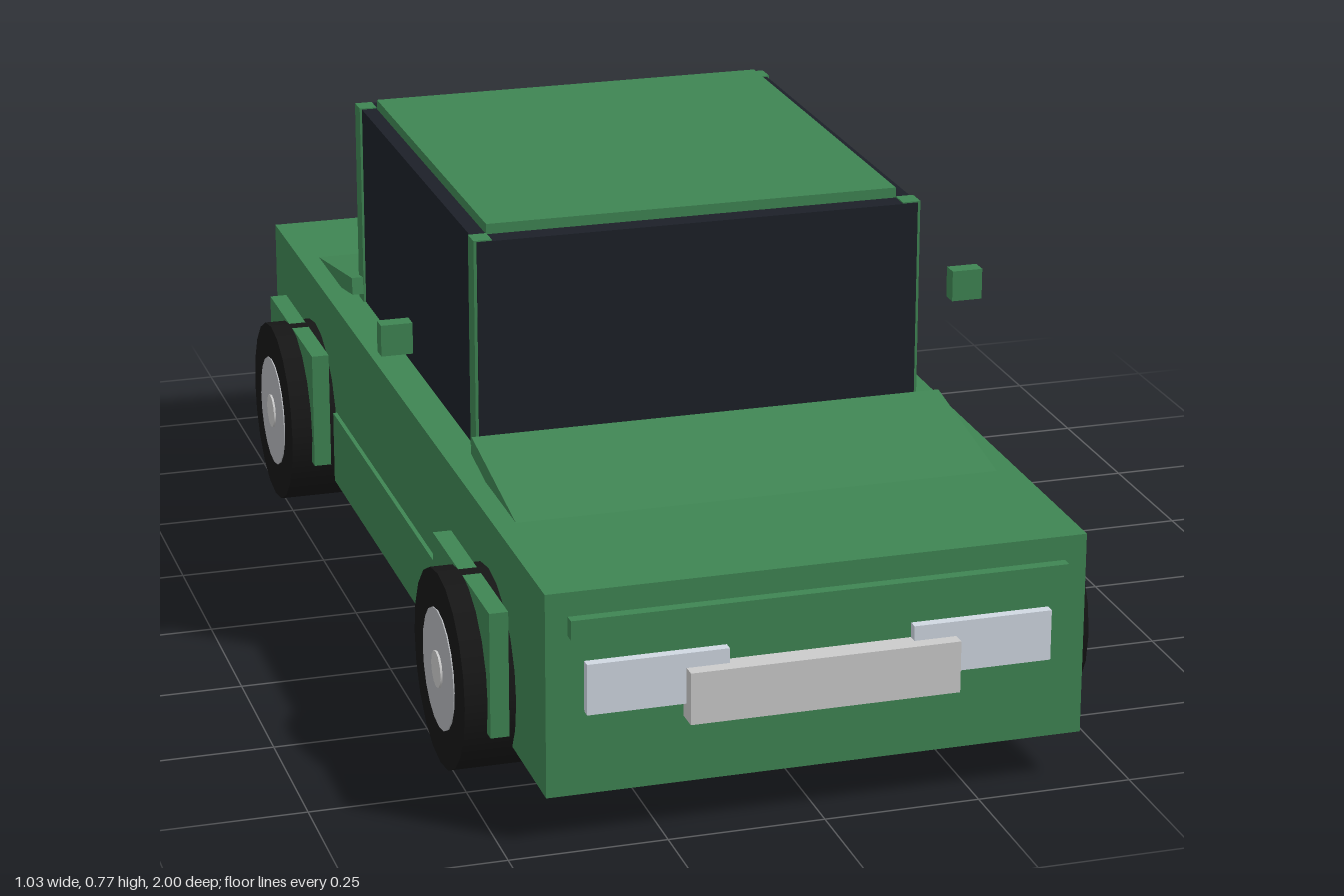
import * as THREE from 'three';

const mat = (color) => new THREE.MeshStandardMaterial({ color });

export function createModel() {
  const car = new THREE.Group();
  car.name = 'car';
  const paint = mat(0x3f8553), glass = mat(0x1c2028), rubber = mat(0x161616);
  const metal = mat(0xb4b6ba), lamp = mat(0xd0d8e2), tailRed = mat(0x2c0a0a), plateGrey = mat(0xbdbdc0);

  // Box given by its lower and upper limits on each axis
  const box = (name, material, [x0, x1], [y0, y1], [z0, z1]) => {
    const mesh = new THREE.Mesh(new THREE.BoxGeometry(x1 - x0, y1 - y0, z1 - z0), material);
    mesh.position.set((x0 + x1) / 2, (y0 + y1) / 2, (z0 + z1) / 2);
    mesh.name = name;
    car.add(mesh);
    return mesh;
  };
  // The same box on the left (+x) and right (-x)
  const pair = (name, material, [x0, x1], y, z) => {
    box(name + 'Left', material, [x0, x1], y, z);
    box(name + 'Right', material, [-x1, -x0], y, z);
  };

  // Lower body and sills
  box('body', paint, [-0.43, 0.43], [0.075, 0.405], [-0.925, 0.962]);
  pair('sill', paint, [0.4, 0.437], [0.077, 0.205], [-0.43, 0.46]);

  // Sloping hood and trunk lid, sunk into the body
  const hood = box('hood', paint, [-0.395, 0.395], [0.379, 0.409], [0.394, 0.894]);
  hood.rotation.x = 0.165;
  const trunk = box('trunkLid', paint, [-0.395, 0.395], [0.379, 0.409], [-0.936, -0.436]);
  trunk.rotation.x = -0.165;

  // Cabin: panes, corner pillars and roof
  box('windshield', glass, [-0.37, 0.37], [0.4, 0.758], [0.312, 0.352]);
  box('rearWindow', glass, [-0.37, 0.37], [0.4, 0.758], [-0.475, -0.437]);
  pair('sideWindow', glass, [0.345, 0.371], [0.4, 0.758], [-0.437, 0.315]);
  pair('frontPillar', paint, [0.345, 0.375], [0.4, 0.76], [0.315, 0.35]);
  pair('rearPillar', paint, [0.345, 0.375], [0.4, 0.76], [-0.473, -0.437]);
  box('roof', paint, [-0.345, 0.345], [0.745, 0.775], [-0.432, 0.315]);

  // Mirrors
  pair('mirror', paint, [0.46, 0.512], [0.558, 0.61], [0.255, 0.283]);

  // Front trim, headlights and plate
  box('frontTrim', paint, [-0.395, 0.395], [0.335, 0.366], [0.95, 0.98]);
  pair('headlight', lamp, [0.147, 0.37], [0.21, 0.292], [0.95, 0.978]);
  box('frontPlate', plateGrey, [-0.215, 0.215], [0.184, 0.268], [0.96, 1.0]);

  // Rear trim, tail lights and exhaust
  box('rearTrim', paint, [-0.395, 0.395], [0.335, 0.366], [-0.945, -0.915]);
  pair('tailLight', tailRed, [0.137, 0.385], [0.22, 0.28], [-0.94, -0.915]);
  const exhaust = new THREE.Mesh(new THREE.CylinderGeometry(0.026, 0.026, 0.08, 16), metal);
  exhaust.rotation.x = Math.PI / 2;
  exhaust.position.set(-0.165, 0.144, -0.96);
  exhaust.name = 'exhaust';
  car.add(exhaust);

  // Wheels with rim and hub cap, and a fender plate at each
  const wheelParts = [
    ['tyre', rubber, 0.16, 0.115, 20],
    ['rim', metal, 0.098, 0.119, 20],
    ['hubCap', plateGrey, 0.03, 0.126, 12],
  ];
  for (const z of [0.632, -0.595]) {
    const end = z > 0 ? 'front' : 'rear';
    pair(end + 'Fender', paint, [0.445, 0.475], [0.112, 0.318], [z - 0.175, z + 0.175]);
    for (const side of [1, -1]) {
      const wheel = new THREE.Group();
      wheel.name = end + 'Wheel' + (side > 0 ? 'Left' : 'Right');
      for (const [name, material, radius, width, sides] of wheelParts) {
        const mesh = new THREE.Mesh(new THREE.CylinderGeometry(radius, radius, width, sides), material);
        mesh.rotation.z = Math.PI / 2;
        mesh.name = name;
        wheel.add(mesh);
      }
      wheel.position.set(side * 0.4535, 0.16, z);
      car.add(wheel);
    }
  }
  return car;
}
